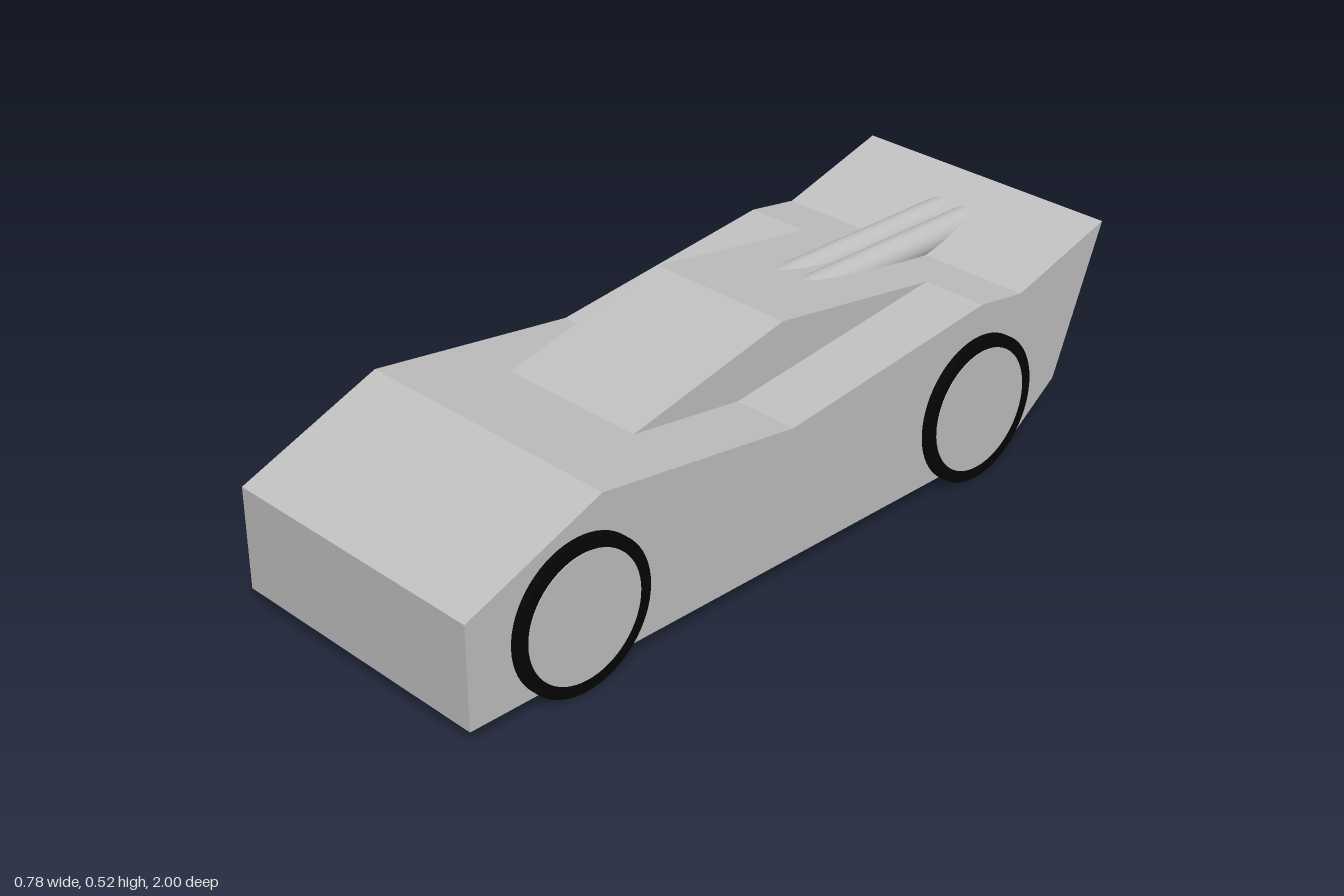
import * as THREE from 'three';

const paint = new THREE.MeshStandardMaterial({ color: 0xc0c0c0 });
paint.name = 'silver paint';
const rubber = new THREE.MeshStandardMaterial({ color: 0x050505 });
rubber.name = 'black rubber';

// Side profile of [z, y] points, extruded across the car's width
function slab(name, points, width) {
  const shape = new THREE.Shape(points.map(([z, y]) => new THREE.Vector2(z, y)));
  const geometry = new THREE.ExtrudeGeometry(shape, { depth: width, bevelEnabled: false });
  geometry.translate(0, 0, -width / 2).rotateY(-Math.PI / 2);
  const mesh = new THREE.Mesh(geometry, paint);
  mesh.name = name;
  return mesh;
}

// Cylinder lying along the x axis
function disc(name, radius, width, x, material) {
  const geometry = new THREE.CylinderGeometry(radius, radius, width, 64).rotateZ(Math.PI / 2);
  const mesh = new THREE.Mesh(geometry, material);
  mesh.name = name;
  mesh.position.x = x;
  return mesh;
}

export function createModel() {
  const car = new THREE.Group();
  car.name = 'wedgeCar';

  // Wedge body with the kicked-up tail
  car.add(slab('body', [
    [1, 0.04], [1, 0.298], [0.63, 0.445], [0.07, 0.372], [-0.56, 0.45],
    [-0.7, 0.43], [-1, 0.52], [-0.85, 0.15], [-0.7, 0.04],
  ], 0.74));

  // Cabin rising from the hood and running into the rear deck
  car.add(slab('cabin', [
    [0.385, 0.413], [-0.07, 0.52], [-0.56, 0.45], [0.07, 0.365],
  ], 0.4));

  // Twin pipes sunk into the rear deck
  for (const side of [-1, 1]) {
    const pipe = new THREE.Mesh(
      new THREE.CylinderGeometry(0.04, 0.04, 0.67, 32).rotateX(Math.PI / 2), paint);
    pipe.name = side > 0 ? 'leftPipe' : 'rightPipe';
    pipe.position.set(side * 0.04, 0.447, -0.585);
    car.add(pipe);
  }

  // Wheels: black tyre with a flat painted hub plate
  for (const [end, z] of [['front', 0.7], ['rear', -0.55]]) {
    for (const side of [-1, 1]) {
      const wheel = new THREE.Group();
      wheel.name = end + (side > 0 ? 'Left' : 'Right') + 'Wheel';
      wheel.add(disc('tyre', 0.185, 0.148, side * 0.314, rubber));
      wheel.add(disc('hub', 0.155, 0.006, side * 0.387, paint));
      wheel.position.set(0, 0.185, z);
      car.add(wheel);
    }
  }
  return car;
}
